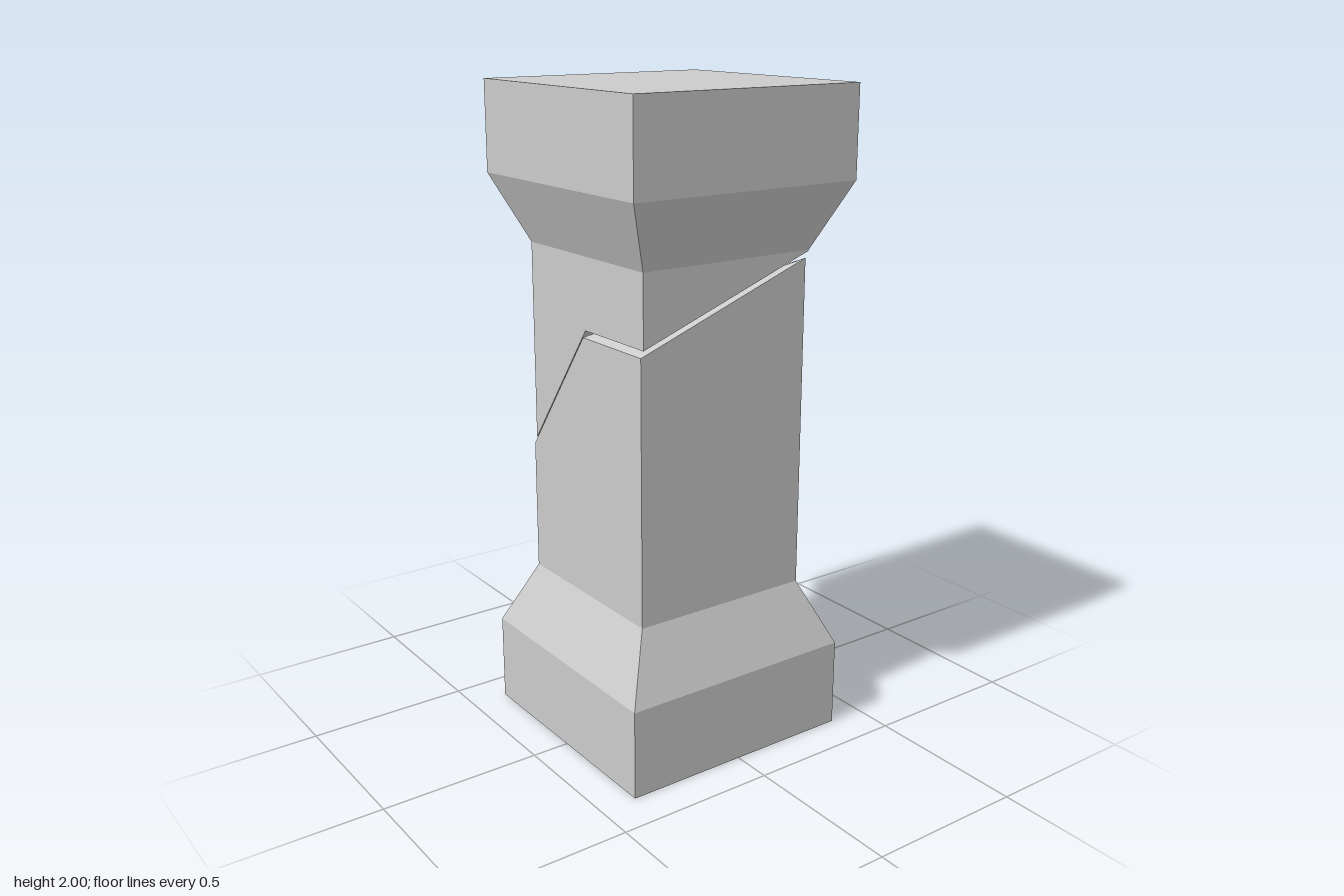
import * as THREE from 'three';

// Ring order, counter-clockwise from above: front-left edge, front middle, front-right, back-right, back-left (as seen from the front)
const CORNERS = [[-1, 1], [0, 1], [1, 1], [1, -1], [-1, -1]];
const CUT = [0.89, 1.287, 1.287, 1.5, 1.287]; // fracture height at each ring point
const GAP = 0.023, WIDE = 0.383, SHAFT = 0.292, SHIFT = 0.0065;

const ring = (half, y) => CORNERS.map(([x, z], i) => [x * half, Array.isArray(y) ? y[i] : y, z * half]);

// Skins a stack of rings, listed bottom to top, and closes both ends with fans from the front middle
function stack(name, rings) {
  const n = CORNERS.length, last = (rings.length - 1) * n, index = [];
  for (let r = 0; r < rings.length - 1; r++) {
    for (let i = 0; i < n; i++) {
      const a = r * n + i, b = r * n + (i + 1) % n;
      index.push(a, b, b + n, a, b + n, a + n);
    }
  }
  for (let i = 2; i < n; i++) {
    const j = (i + 1) % n;
    index.push(1, j, i, last + 1, last + i, last + j);
  }
  const indexed = new THREE.BufferGeometry();
  indexed.setAttribute('position', new THREE.Float32BufferAttribute(rings.flat(2), 3));
  indexed.setIndex(index);
  const geometry = indexed.toNonIndexed();
  geometry.computeVertexNormals();
  const mesh = new THREE.Mesh(geometry, new THREE.MeshStandardMaterial({ color: 0xcccccc, flatShading: true }));
  mesh.name = name;
  return mesh;
}

export function createModel() {
  const group = new THREE.Group();
  group.name = 'brokenPillar';

  // Plinth, taper and shaft up to the fracture
  const lower = stack('lowerPillar', [
    ring(WIDE, 0), ring(WIDE, 0.277), ring(SHAFT, 0.48), ring(SHAFT, CUT),
  ]);
  lower.position.x = -SHIFT;

  // Shaft above the fracture, flare and capital, slightly displaced
  const upper = stack('upperPillar', [
    ring(SHAFT, CUT.map((y) => y + GAP)), ring(SHAFT, 1.526), ring(WIDE, 1.729), ring(WIDE, 2),
  ]);
  upper.position.x = SHIFT;

  group.add(lower, upper);
  return group;
}
